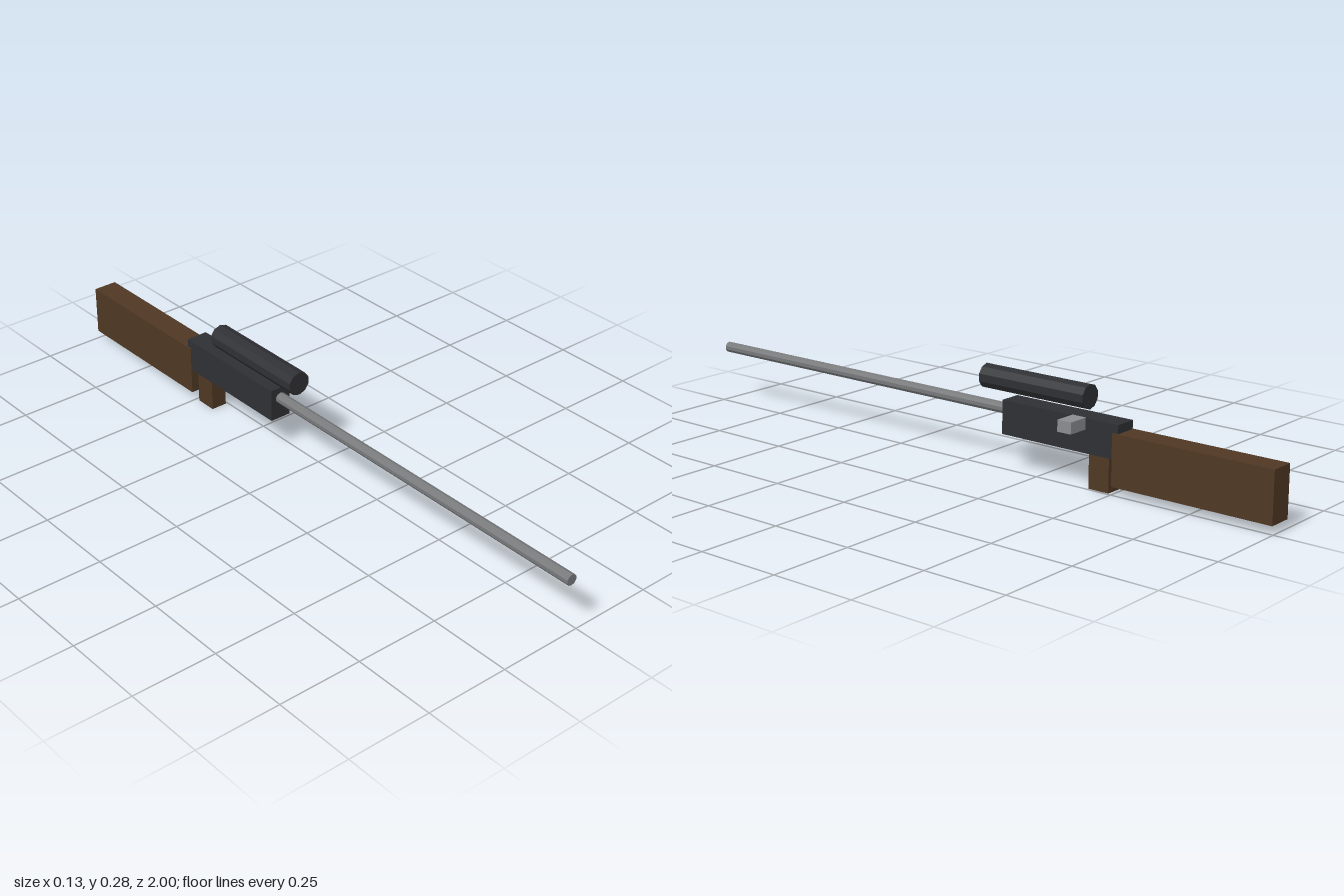
import * as THREE from 'three';

const CENTER_X = -0.031;

const material = (color) => new THREE.MeshStandardMaterial({ color, flatShading: true });

export function createModel() {
  const group = new THREE.Group();
  const wood = material(0x4f3824);
  const darkMetal = material(0x2f3034);
  const barrelMetal = material(0x77797b);
  const boltMetal = material(0x8a8d8f);

  const add = (name, geometry, mat, x, y, z) => {
    const mesh = new THREE.Mesh(geometry, mat);
    mesh.name = name;
    mesh.position.set(x, y, z);
    group.add(mesh);
  };

  // Box given by its width and its y and z ranges
  const box = (name, mat, width, [y0, y1], [z0, z1], x = CENTER_X) =>
    add(name, new THREE.BoxGeometry(width, y1 - y0, z1 - z0), mat, x, (y0 + y1) / 2, (z0 + z1) / 2);

  // Ten-sided tube lying along z
  const rod = (name, mat, radius, y, [z0, z1]) =>
    add(name, new THREE.CylinderGeometry(radius, radius, z1 - z0, 10).rotateX(Math.PI / 2),
      mat, CENTER_X, y, (z0 + z1) / 2);

  // Wooden parts
  box('stock', wood, 0.073, [0.025, 0.173], [-1, -0.505]);
  box('grip', wood, 0.049, [0, 0.103], [-0.488, -0.422]);

  // Metal body, barrel and sight
  box('receiver', darkMetal, 0.066, [0.1, 0.198], [-0.522, -0.13]);
  rod('barrel', barrelMetal, 0.0165, 0.165, [-0.14, 1]);
  rod('scope', darkMetal, 0.0355, 0.248, [-0.405, -0.047]);

  // Bolt handle sticking out of the left side
  box('boltHandle', boltMetal, 0.067, [0.166, 0.199], [-0.415, -0.37], 0.033);

  return group;
}
